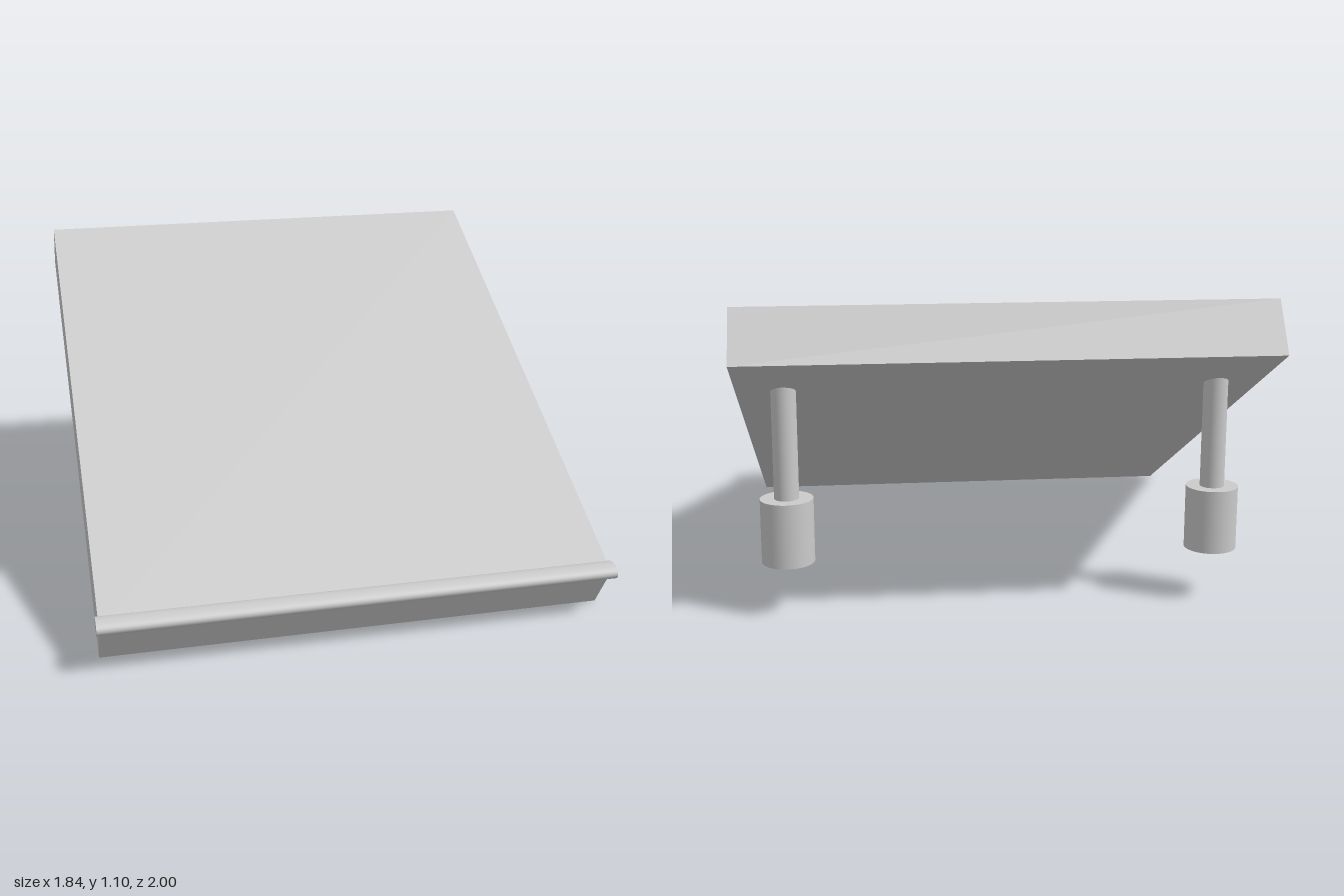
import * as THREE from 'three';

const material = new THREE.MeshStandardMaterial({ color: 0xcccccc });

function addPart(parent, name, geometry, x = 0, y = 0, z = 0) {
  const mesh = new THREE.Mesh(geometry, material);
  mesh.name = name;
  mesh.position.set(x, y, z);
  parent.add(mesh);
  return mesh;
}

function cylinderBetween(radius, bottom, top) {
  return new THREE.CylinderGeometry(radius, radius, top - bottom, 32)
    .translate(0, (top + bottom) / 2, 0);
}

export function createModel() {
  const model = new THREE.Group();
  model.name = 'slopedStand';

  // Sloped slab: side profile (z, y) extruded along the width
  const halfWidth = 0.91;
  const profile = new THREE.Shape([
    [0.855, 0], [0.965, 0.175], [-0.887, 1.1], [-1, 0.927],
  ].map(([z, y]) => new THREE.Vector2(-z, y)));
  const slab = new THREE.ExtrudeGeometry(profile, { depth: 2 * halfWidth, bevelEnabled: false })
    .translate(0, 0, -halfWidth)
    .rotateY(Math.PI / 2);
  addPart(model, 'slopedBoard', slab);

  // Oval rail along the low front edge
  const rail = new THREE.CylinderGeometry(1, 1, 1.84, 32)
    .rotateZ(Math.PI / 2)
    .scale(1, 0.027, 0.045);
  addPart(model, 'frontRail', rail, 0, 0.178, 0.955);

  // Two rear legs, each a thin post on a thick foot
  for (const side of [-1, 1]) {
    const leg = new THREE.Group();
    leg.name = side > 0 ? 'leftLeg' : 'rightLeg';
    leg.position.set(side * 0.75, 0, -0.717);
    addPart(leg, 'post', cylinderBetween(0.043, 0.41, 0.83));
    addPart(leg, 'foot', cylinderBetween(0.092, 0.183, 0.41));
    model.add(leg);
  }

  return model;
}
